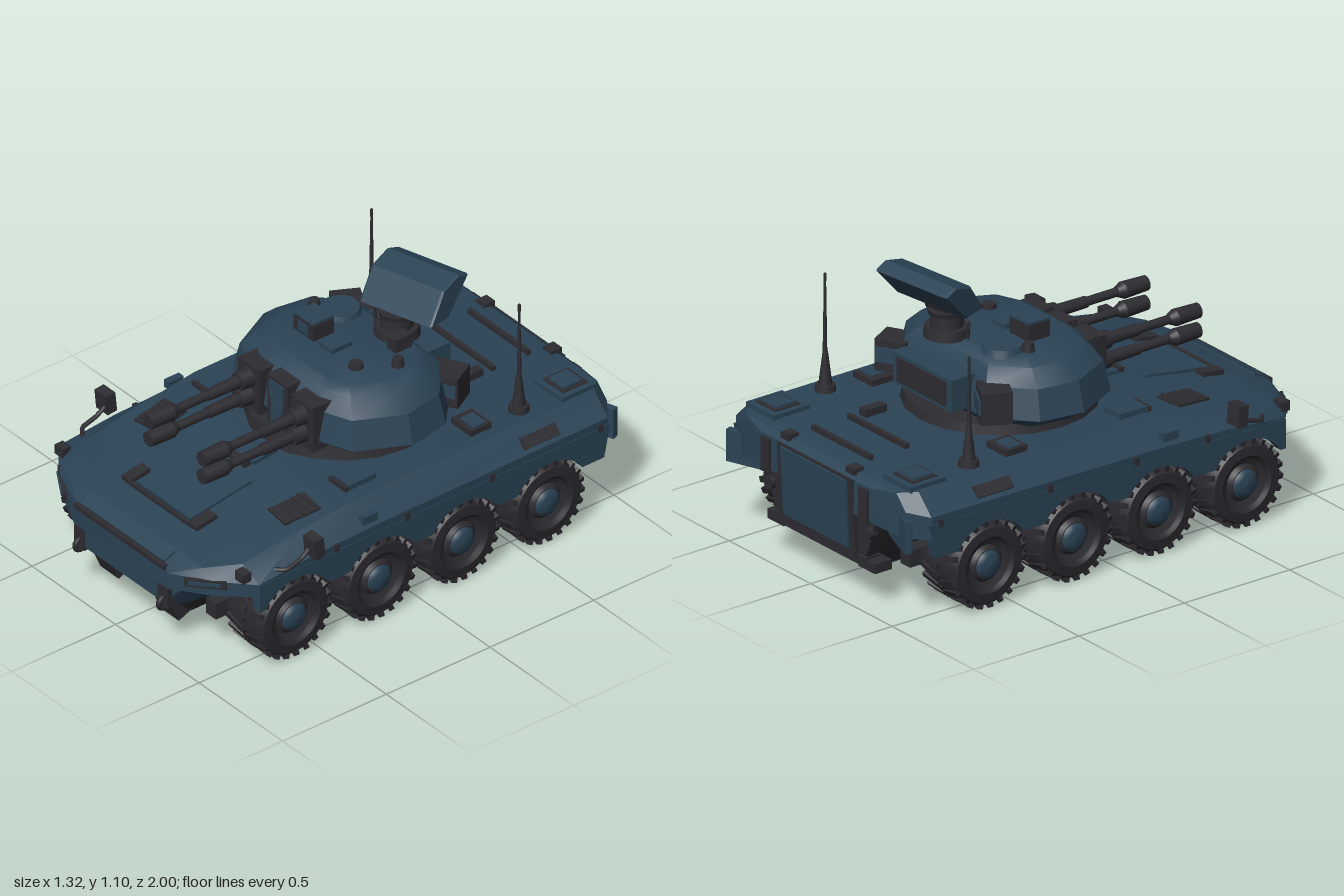
import * as THREE from 'three';
import { toCreasedNormals } from 'three/addons/utils/BufferGeometryUtils.js';

const mat = (name, color) => Object.assign(new THREE.MeshStandardMaterial({ color }), { name });

export function createModel() {
  const root = new THREE.Group();
  root.name = 'armouredVehicle';
  const blue = mat('blue paint', 0x2b4355);
  const dark = mat('dark metal', 0x2d2c31);
  const rubber = mat('tyre rubber', 0x2a282d);

  const add = (name, geo, material, x = 0, y = 0, z = 0, parent = root) => {
    const m = new THREE.Mesh(geo, material);
    m.name = name;
    m.position.set(x, y, z);
    parent.add(m);
    return m;
  };
  const box = (name, material, w, h, d, x, y, z, rx = 0, ry = 0, rz = 0, parent = root) => {
    const m = add(name, new THREE.BoxGeometry(w, h, d), material, x, y, z, parent);
    m.rotation.set(rx, ry, rz);
    return m;
  };
  const cyl = (name, material, r0, r1, h, x, y, z, axis = 'y', parent = root) => {
    const g = new THREE.CylinderGeometry(r0, r1, h, 20);
    if (axis === 'z') g.rotateX(Math.PI / 2);
    if (axis === 'x') g.rotateZ(-Math.PI / 2);
    return add(name, g, material, x, y, z, parent);
  };
  const tube = (name, material, pts, r) => add(name, new THREE.TubeGeometry(
    new THREE.CatmullRomCurve3(pts.map(p => new THREE.Vector3(...p)), false, 'catmullrom', 0.1), 16, r, 8), material);

  // Skin a closed solid over equal-length rings, with fan caps
  const loft = (rings, crease = 0.5) => {
    const n = rings[0].length, tris = [];
    for (let i = 0; i < rings.length - 1; i++) for (let j = 0; j < n; j++) {
      const k = (j + 1) % n, a = rings[i][j], b = rings[i][k], c = rings[i + 1][k], d = rings[i + 1][j];
      tris.push([a, b, c], [a, c, d]);
    }
    const cap = (r, flip) => {
      const c = [0, 1, 2].map(q => r.reduce((s, p) => s + p[q], 0) / n);
      r.forEach((p, j) => tris.push(flip ? [c, r[(j + 1) % n], p] : [c, p, r[(j + 1) % n]]));
    };
    cap(rings[0], true);
    cap(rings[rings.length - 1], false);
    const vol = tris.reduce((s, [a, b, c]) => s + a[0] * (b[1] * c[2] - b[2] * c[1])
      + a[1] * (b[2] * c[0] - b[0] * c[2]) + a[2] * (b[0] * c[1] - b[1] * c[0]), 0);
    if (vol < 0) tris.forEach(t => t.reverse());
    const g = new THREE.BufferGeometry();
    g.setAttribute('position', new THREE.Float32BufferAttribute(tris.flat(2), 3));
    return toCreasedNormals(g, crease);
  };
  const mirrorRing = half => [...half, ...half.map(([x, y, z]) => [-x, y, z]).reverse()];

  // Upper hull: z, roof half width, roof y, side half width, shoulder y, lower y
  const hull = [
    [-0.975, 0.34, 0.5, 0.36, 0.46, 0.36], [-0.95, 0.46, 0.52, 0.52, 0.46, 0.35],
    [-0.89, 0.52, 0.53, 0.6, 0.45, 0.36], [0.2, 0.52, 0.53, 0.6, 0.44, 0.365],
    [0.52, 0.51, 0.495, 0.6, 0.43, 0.365], [0.79, 0.5, 0.45, 0.6, 0.405, 0.35],
    [0.9, 0.4, 0.425, 0.46, 0.395, 0.33], [0.975, 0.26, 0.395, 0.28, 0.37, 0.3]];
  add('upperHull', loft(hull.map(([z, tw, t, w, m, l]) => mirrorRing([[tw, t, z], [w, m, z], [w, l, z]]))), blue);
  // Lower pieces: z, upper half width, upper y, lower half width, lower y
  const trough = list => loft(list.map(([z, a, b, c, d]) => mirrorRing([[a, b, z], [c, d, z]])));
  add('nosePlate', trough([[0.79, 0.39, 0.36, 0.3, 0.2], [0.9, 0.37, 0.36, 0.28, 0.2], [0.97, 0.27, 0.36, 0.25, 0.22]]), blue);
  add('lowerHull', trough([[-0.95, 0.34, 0.37, 0.28, 0.2], [-0.86, 0.37, 0.37, 0.22, 0.11],
    [0.84, 0.37, 0.35, 0.22, 0.1], [0.93, 0.28, 0.25, 0.22, 0.19]]), dark);
  box('bellyPlate', blue, 0.4, 0.008, 1.64, 0, 0.101, 0, -0.004);
  box('lowerNosePanel', blue, 0.2, 0.12, 0.008, 0, 0.147, 0.891, 0.78);
  box('noseLip', dark, 0.54, 0.02, 0.02, 0, 0.39, 0.975);
  box('noseStrip', blue, 0.5, 0.008, 0.06, 0, 0.415, 0.94, 0.4);

  // Side skirts with wheel arches
  const wheelZ = [-0.61, -0.2, 0.2, 0.61], axleY = 0.178;
  const skirt = new THREE.Shape();
  skirt.moveTo(-0.9, 0.42);
  skirt.lineTo(-0.87, 0.28);
  wheelZ.forEach(z => skirt.absarc(z, axleY, 0.186, Math.PI - 0.58, 0.58, true));
  skirt.lineTo(0.79, 0.28);
  skirt.lineTo(0.79, 0.4);
  const skirtGeo = new THREE.ExtrudeGeometry(skirt, { depth: 0.04, bevelEnabled: false, curveSegments: 14 }).rotateY(-Math.PI / 2);

  // Tyre, rim and lug shapes, axis along x with outer face at +x
  const lathe = pts => new THREE.LatheGeometry(pts.map(p => new THREE.Vector2(...p)), 32).rotateZ(-Math.PI / 2);
  const tyreGeo = toCreasedNormals(lathe([[0.06, -0.09], [0.12, -0.1], [0.15, -0.098], [0.166, -0.085], [0.17, -0.04],
    [0.17, 0.04], [0.166, 0.085], [0.152, 0.1], [0.115, 0.104], [0.1, 0.092], [0.098, 0.07]]), 0.7);
  const rimGeo = toCreasedNormals(lathe([[0.001, -0.09], [0.1, -0.09], [0.1, 0.085], [0.075, 0.075], [0.06, 0.09], [0.001, 0.09]]), 0.5);
  const hubGeo = lathe([[0.058, 0.08], [0.055, 0.096], [0.035, 0.106], [0.001, 0.11]]);
  const lugGeo = new THREE.BoxGeometry(0.105, 0.02, 0.022);

  for (const s of [1, -1]) {
    const side = s > 0 ? 'left' : 'right';
    add(side + 'Skirt', skirtGeo, blue, s > 0 ? 0.603 : -0.563);

    wheelZ.forEach((z, i) => {
      const wheel = new THREE.Group();
      wheel.name = side + 'Wheel' + (i + 1);
      wheel.position.set(s * 0.494, axleY, z);
      wheel.rotation.y = s > 0 ? 0 : Math.PI;
      root.add(wheel);
      add('tyre', tyreGeo, rubber, 0, 0, 0, wheel);
      add('rim', rimGeo, dark, 0, 0, 0, wheel);
      add('hubCap', hubGeo, blue, 0, 0, 0, wheel);
      for (let k = 0; k < 22; k++) for (const e of [1, -1]) {
        const a = (k + (e > 0 ? 0.5 : 0)) / 22 * Math.PI * 2;
        const lug = add('treadLug', lugGeo, rubber, e * 0.045, Math.cos(a) * 0.167, Math.sin(a) * 0.167, wheel);
        lug.rotation.set(a, e * 0.3, 0, 'XYZ');
      }
      cyl('axle', dark, 0.035, 0.045, 0.22, s * 0.32, 0.165, z, 'x');
      cyl('axleJoint', dark, 0.065, 0.065, 0.06, s * 0.35, 0.15, z, 'x');
      box('suspensionArm', dark, 0.16, 0.03, 0.1, s * 0.3, 0.11, z, 0, 0, s * 0.1);
    });
    box('sill', dark, 0.06, 0.07, 1.66, s * 0.36, 0.19, 0);

    // Deck fittings
    box('rearVentFrame', blue, 0.17, 0.025, 0.17, s * 0.42, 0.535, -0.83);
    box('rearVentGrille', dark, 0.12, 0.012, 0.12, s * 0.42, 0.546, -0.83);
    box('rearVentCover', blue, 0.09, 0.014, 0.09, s * 0.42, 0.552, -0.83);
    box('deckBox', dark, 0.12, 0.03, 0.1, s * 0.41, 0.54, -0.385);
    box('deckBoxLid', blue, 0.08, 0.008, 0.06, s * 0.42, 0.557, -0.385);
    box('deckHatch', blue, 0.1, 0.03, 0.13, s * 0.41, 0.537, 0.18, 0.03);
    box('hatchHinge', dark, 0.1, 0.02, 0.015, s * 0.41, 0.537, 0.255);
    box('engineGrille', dark, 0.12, 0.012, 0.16, s * 0.4, 0.505, 0.46, 0.11, -s * 0.12);
    for (let k = 0; k < 5; k++) box('grilleSlat', dark, 0.11, 0.012, 0.01, s * 0.4, 0.517 - k * 0.004, 0.4 + k * 0.03, 0.11);
    box('sideGrille', dark, 0.008, 0.05, 0.17, s * 0.577, 0.485, -0.58, 0, 0, s * 0.785);
    box('sideHandle', blue, 0.03, 0.035, 0.07, s * 0.582, 0.475, 0.25);
    for (const z of [-0.85, -0.33, 0.08, 0.42]) box('sideBracket', dark, 0.014, 0.03, 0.02, s * 0.603, 0.42, z);

    // Whip antenna on a tapered base
    cyl('antennaFoot', dark, 0.038, 0.042, 0.03, s * 0.44, 0.54, -0.59);
    cyl('antennaSpring', dark, 0.01, 0.027, 0.14, s * 0.44, 0.62, -0.59);
    const tip = s > 0 ? 1.01 : 0.975;
    cyl('antennaRod', dark, 0.004, 0.009, tip - 0.68, s * 0.442, (tip + 0.68) / 2, -0.59);
    cyl('antennaTip', dark, 0.006, 0.006, 0.03, s * 0.442, tip - 0.018, -0.59);

    // Mirror, headlight slot, tow hook and tail lights
    box('mirror', dark, 0.07, 0.085, 0.045, s * 0.624, 0.495, 0.545, 0.1);
    tube('mirrorArm', dark, [[s * 0.61, 0.48, 0.56], [s * 0.612, 0.45, 0.6], [s * 0.61, 0.43, 0.67], [s * 0.54, 0.42, 0.72]], 0.009);
    box('headlightSlot', dark, 0.17, 0.035, 0.014, s * 0.43, 0.375, 0.912, 0, s * 0.55, s * 0.12);
    box('headlightGlass', blue, 0.13, 0.014, 0.008, s * 0.433, 0.376, 0.92, 0, s * 0.55, s * 0.12);
    box('cornerLamp', dark, 0.05, 0.04, 0.04, s * 0.54, 0.43, 0.82);
    box('towHookPlate', dark, 0.06, 0.09, 0.03, s * 0.25, 0.25, 0.96);
    const hook = add('towHook', new THREE.TorusGeometry(0.025, 0.01, 8, 16), dark, s * 0.25, 0.22, 0.97);
    hook.rotation.y = Math.PI / 2;
    box('frontBumperBlock', dark, 0.11, 0.09, 0.09, s * 0.18, 0.15, 0.86, 0.4);
    box('tailLight', dark, 0.05, 0.14, 0.03, s * 0.3, 0.42, -0.972);
    cyl('tailLamp', dark, 0.025, 0.025, 0.04, s * 0.3, 0.3, -0.95, 'z');
    box('rearStep', dark, 0.1, 0.04, 0.08, s * 0.28, 0.16, -0.91);
    box('mudPanel', blue, 0.2, 0.13, 0.03, s * 0.46, 0.37, -0.93, 0, s * 0.35);
    box('rearRoofClamp', dark, 0.05, 0.025, 0.05, s * 0.2, 0.525, -0.945);
    box('frontDeckBracket', dark, 0.05, 0.025, 0.1, s * 0.2, 0.465, 0.74, 0.15);
  }

  // Rear ramp, roof rails and driver's fittings
  box('rampFrame', dark, 0.46, 0.32, 0.02, 0, 0.34, -0.965, -0.05);
  box('rampDoor', blue, 0.4, 0.28, 0.02, 0, 0.35, -0.974, -0.05);
  box('rearBumper', dark, 0.56, 0.04, 0.07, 0, 0.17, -0.92);
  for (const z of [-0.85, -0.68]) box('roofRail', dark, 0.36, 0.02, 0.018, 0, 0.54, z);
  box('roofBox', dark, 0.04, 0.03, 0.1, 0.16, 0.545, -0.58);
  box('driverHatch', blue, 0.16, 0.02, 0.12, 0, 0.52, 0.34, 0.1);
  box('driverPeriscope', dark, 0.14, 0.025, 0.03, 0, 0.512, 0.42, 0.1);
  box('splashBoard', dark, 0.4, 0.015, 0.015, 0, 0.458, 0.785);
  box('glacisPanel', blue, 0.32, 0.012, 0.3, 0, 0.483, 0.62, 0.15);

  // Turret: stacked plan outlines, each y, scale
  const plan = [[0.2, 0.3], [0.35, 0.24], [0.45, 0.04], [0.42, -0.14], [0.27, -0.28]];
  const rings = [[0.55, 0.82], [0.61, 1.03], [0.73, 0.96], [0.79, 0.81], [0.815, 0.68]];
  cyl('turretRing', dark, 0.37, 0.38, 0.05, 0, 0.545, -0.1);
  add('turretShell', loft(rings.map(([y, k]) => mirrorRing(plan.map(([x, z]) => [x * k, y, z * k - 0.1])))), blue);
  box('rearBin', blue, 0.36, 0.13, 0.11, 0, 0.685, -0.415);
  box('rearBinTrim', dark, 0.3, 0.1, 0.01, 0, 0.685, -0.471);
  for (const s of [1, -1]) {
    box('cornerBin', dark, 0.13, 0.13, 0.12, s * 0.3, 0.675, -0.36, 0, s * 0.5);
    box('cornerBinCover', blue, 0.11, 0.06, 0.13, s * 0.3, 0.68, -0.365, 0, s * 0.5);

    // Twin gun mount
    box('gunHousing', dark, 0.13, 0.2, 0.12, s * 0.16, 0.668, 0.17);
    for (const y of [0.712, 0.632]) {
      cyl('gunCollar', dark, 0.036, 0.042, 0.07, s * 0.16, y, 0.25, 'z');
      cyl('gunSleeve', dark, 0.023, 0.026, 0.16, s * 0.16, y, 0.35, 'z');
      cyl('gunBarrel', dark, 0.018, 0.018, 0.26, s * 0.16, y, 0.5, 'z');
      cyl('muzzleCone', dark, 0.033, 0.02, 0.03, s * 0.16, y, 0.59, 'z');
      cyl('muzzle', dark, 0.03, 0.034, 0.11, s * 0.16, y, 0.66, 'z');
    }
    cyl('roofStud', dark, 0.02, 0.028, 0.05, s * 0.25, 0.825, -0.16);
  }
  // Central sight between the guns
  box('mantletFrame', dark, 0.12, 0.22, 0.1, 0, 0.665, 0.17);
  box('mantletSight', blue, 0.08, 0.08, 0.012, 0, 0.72, 0.222);
  box('mantletLower', blue, 0.07, 0.1, 0.008, 0, 0.62, 0.222);

  // Roof sights and hatches
  box('roofSight', dark, 0.12, 0.075, 0.1, -0.13, 0.845, -0.06);
  box('roofSightCap', blue, 0.11, 0.012, 0.1, -0.13, 0.884, -0.06);
  box('roofSightWindow', blue, 0.06, 0.045, 0.008, -0.13, 0.848, -0.01);
  box('roofHatch', blue, 0.08, 0.03, 0.1, 0, 0.82, -0.06);
  cyl('roofPort', dark, 0.028, 0.03, 0.025, 0.16, 0.82, -0.03);
  cyl('cupola', blue, 0.075, 0.085, 0.03, -0.17, 0.82, -0.22);
  box('equipmentBox', dark, 0.05, 0.06, 0.08, 0.16, 0.84, -0.24);

  // Radar on its pedestal
  cyl('radarBase', dark, 0.085, 0.09, 0.04, 0.07, 0.83, -0.3);
  cyl('radarColumn', dark, 0.06, 0.065, 0.08, 0.07, 0.88, -0.3);
  cyl('radarBearing', dark, 0.075, 0.07, 0.02, 0.07, 0.91, -0.3);
  box('radarYoke', dark, 0.1, 0.08, 0.07, 0.08, 0.945, -0.32, -0.4, 0.22);
  tube('radarCable', dark, [[-0.02, 0.81, -0.27], [-0.025, 0.88, -0.27], [0, 0.905, -0.28], [0.05, 0.9, -0.29]], 0.007);
  const dish = new THREE.Shape([[0.115, -0.07], [0.02, -0.08], [-0.105, 0.045], [-0.055, 0.065], [0.035, 0.04]]
    .map(p => new THREE.Vector2(...p)));
  const dishGeo = new THREE.ExtrudeGeometry(dish, { depth: 0.33, bevelEnabled: true, bevelThickness: 0.008, bevelSize: 0.006, bevelSegments: 1 })
    .translate(0, 0, -0.165).rotateY(-Math.PI / 2);
  add('radarPanel', dishGeo, blue, 0.095, 1.015, -0.365).rotation.set(0, 0.22, 0.06);
  return root;
}
